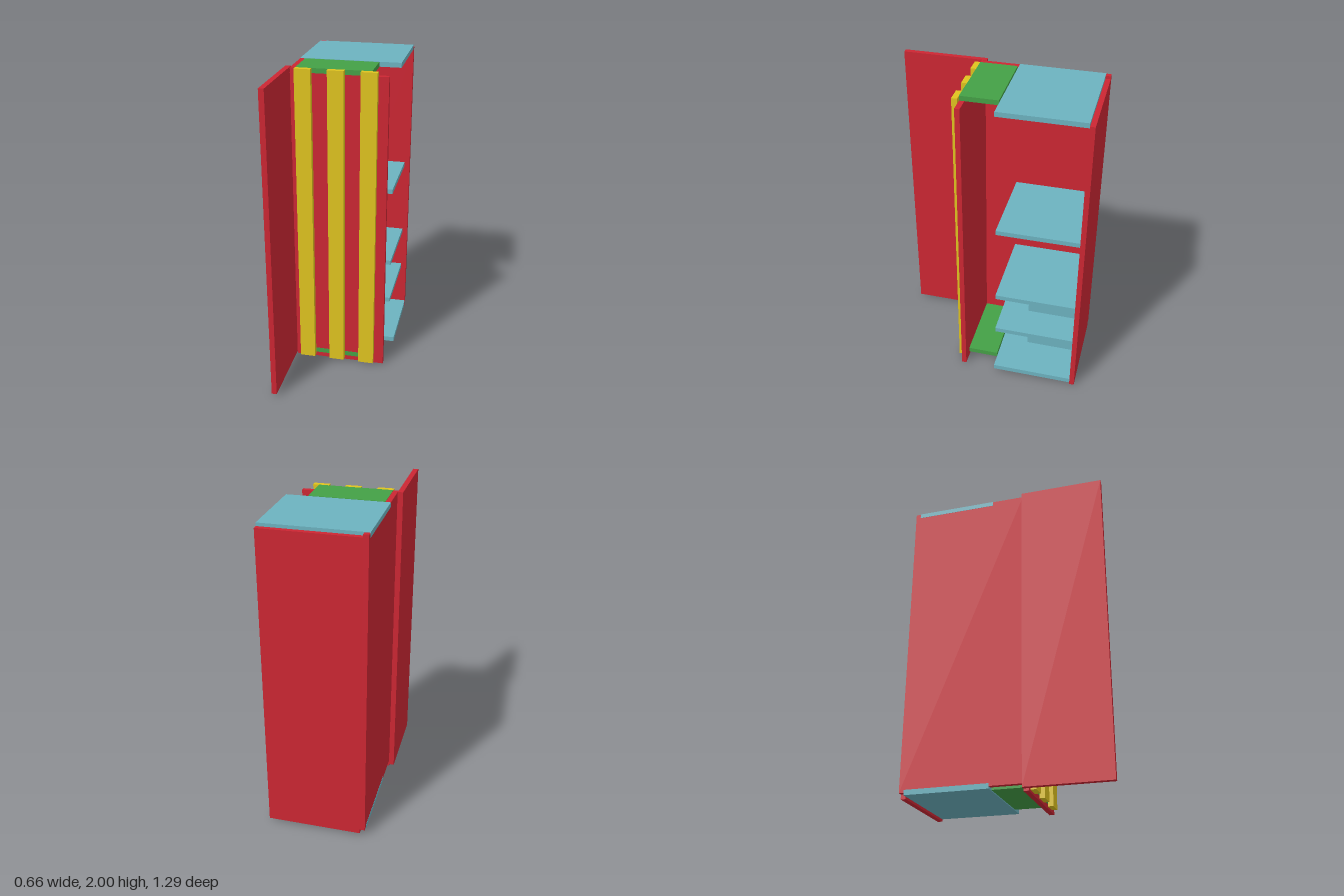
import * as THREE from 'three';

const paint = (color) => new THREE.MeshStandardMaterial({ color });

export function createModel() {
  const model = new THREE.Group();
  model.name = 'cabinet';
  const red = paint(0xcc2633);
  const yellow = paint(0xdfc31f);
  const green = paint(0x44a046);
  const blue = paint(0x6cb2bf);

  // A board given by its [min, max] extent on each axis
  const board = (name, material, [x0, x1], [y0, y1], [z0, z1]) => {
    const mesh = new THREE.Mesh(new THREE.BoxGeometry(x1 - x0, y1 - y0, z1 - z0), material);
    mesh.position.set((x0 + x1) / 2, (y0 + y1) / 2, (z0 + z1) / 2);
    mesh.name = name;
    model.add(mesh);
  };

  // Upright panels and the open door
  board('sidePanel', red, [-0.299, -0.267], [0.045, 1.998], [-0.645, 0.115]);
  board('sidePanelFrontEdge', red, [-0.299, -0.267], [1.97, 1.998], [0.115, 0.147]);
  board('backPanel', red, [-0.267, 0.33], [0.015, 1.98], [-0.645, -0.614]);
  board('frontPanel', red, [-0.3, 0.295], [0, 1.97], [0.115, 0.146]);
  board('door', red, [-0.333, -0.3], [0.015, 2], [0.115, 0.645]);

  // Vertical slats on the front panel
  for (let i = -1; i <= 1; i++) {
    const x = -0.017 + i * 0.2;
    board('frontSlat', yellow, [x - 0.05, x + 0.05], [0.015, 2], [0.146, 0.181]);
  }

  // Top and bottom of the front compartment
  board('frontTop', green, [-0.267, 0.195], [1.97, 2], [-0.085, 0.147]);
  board('frontBottom', green, [-0.267, 0.215], [0.03, 0.063], [-0.085, 0.147]);

  // Top and bottom of the rear compartment
  const depth = [-0.614, -0.092];
  board('rearTop', blue, [-0.3, 0.33], [1.97, 2], depth);
  board('rearBottom', blue, [-0.3, 0.33], [0.03, 0.062], depth);

  // Shelves and the upright divider below them
  for (const y of [0.345, 0.63, 1.145]) {
    board('shelf', blue, [-0.267, 0.295], [y, y + 0.03], depth);
  }
  board('divider', blue, [0.045, 0.075], [0.08, 0.63], [-0.614, -0.27]);

  return model;
}
